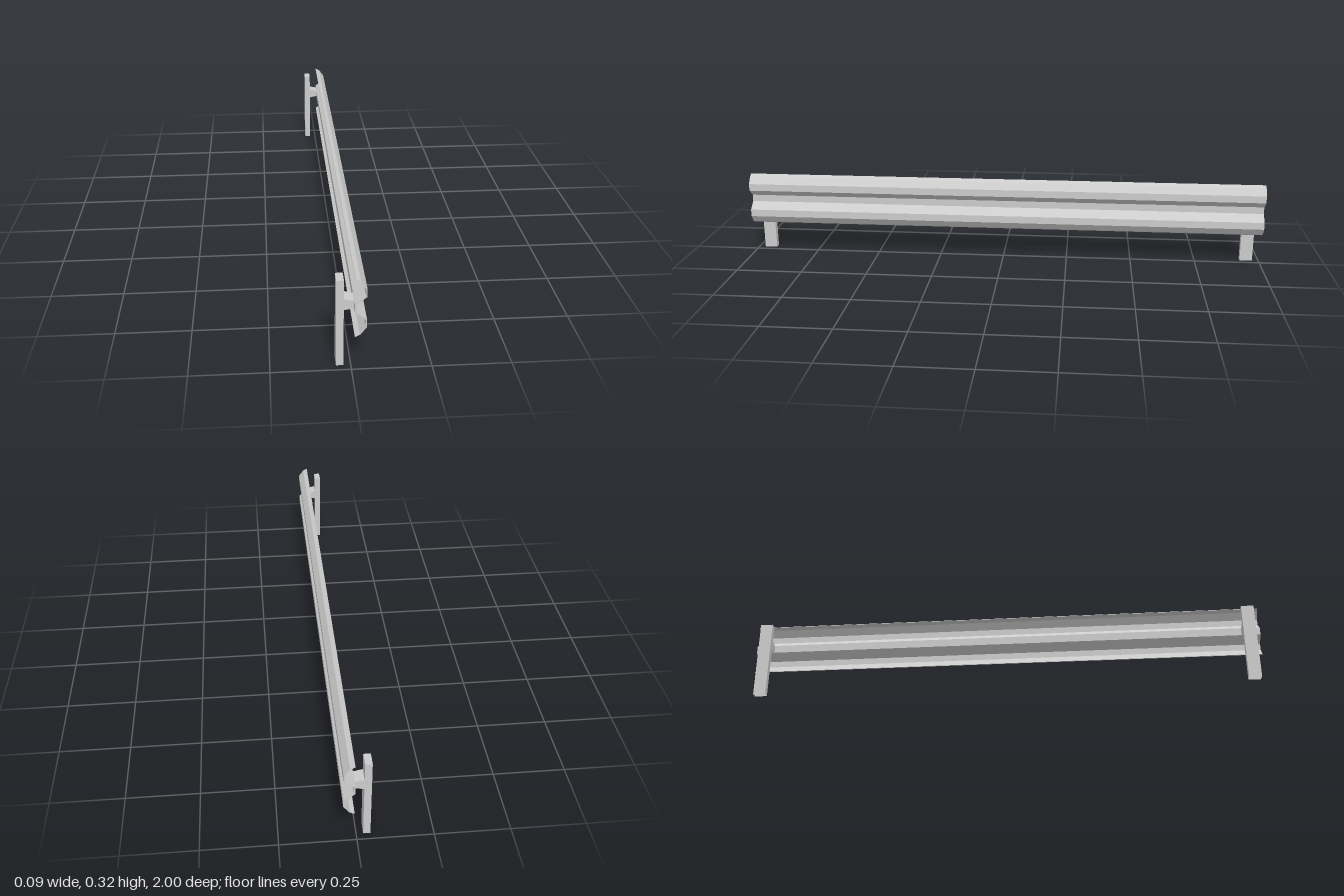
import * as THREE from 'three';

const steel = new THREE.MeshStandardMaterial({ color: 0xcccccc, flatShading: true });
const openSteel = new THREE.MeshStandardMaterial({ color: 0xcccccc, flatShading: true, side: THREE.DoubleSide });

// Extrude an x-y outline along z, centred on z = 0
function extrudeZ(points, depth) {
  const shape = new THREE.Shape(points.map(([x, y]) => new THREE.Vector2(x, y)));
  return new THREE.ExtrudeGeometry(shape, { depth, bevelEnabled: false }).translate(0, 0, -depth / 2);
}

function addMesh(parent, name, geometry, material, x = 0, y = 0) {
  const mesh = new THREE.Mesh(geometry, material);
  mesh.name = name;
  mesh.position.set(x, y, 0);
  parent.add(mesh);
}

// Box left open at its foot
function postGeometry(w, h, d) {
  const geometry = new THREE.BoxGeometry(w, h, d);
  const index = Array.from(geometry.index.array);
  index.splice(18, 6); // the six indices of the bottom face
  geometry.setIndex(index);
  return geometry;
}

export function createModel() {
  const model = new THREE.Group();
  model.name = 'guardrail';

  // W-beam: upper half of the profile, mirrored about the middle of the valley
  const midY = 0.217;
  const outerHalf = [[0.01, 0.1], [0.026, 0.092], [0.0455, 0.066], [0.0455, 0.039], [0.0125, 0.013]];
  const innerHalf = [[0.009, 0.098], [0.0235, 0.09], [0.0415, 0.065], [0.0415, 0.041], [0.0085, 0.015]];
  const fullSide = (half) => [
    ...half.map(([x, y]) => [x, midY + y]),
    ...half.map(([x, y]) => [x, midY - y]).reverse(),
  ];
  const profile = [...fullSide(outerHalf), ...fullSide(innerHalf).reverse()];
  addMesh(model, 'rail', extrudeZ(profile, 2), steel);

  // A post and tapered spacer near each end
  const spacer = [[-0.023, 0.198], [0.0085, 0.204], [0.0085, 0.23], [-0.023, 0.237]];
  for (const side of [1, -1]) {
    const support = new THREE.Group();
    support.name = side > 0 ? 'frontSupport' : 'backSupport';
    support.position.z = side * 0.952;
    addMesh(support, 'post', postGeometry(0.0235, 0.301, 0.048), openSteel, -0.0345, 0.1505);
    addMesh(support, 'spacer', extrudeZ(spacer, 0.048), steel);
    model.add(support);
  }
  return model;
}
